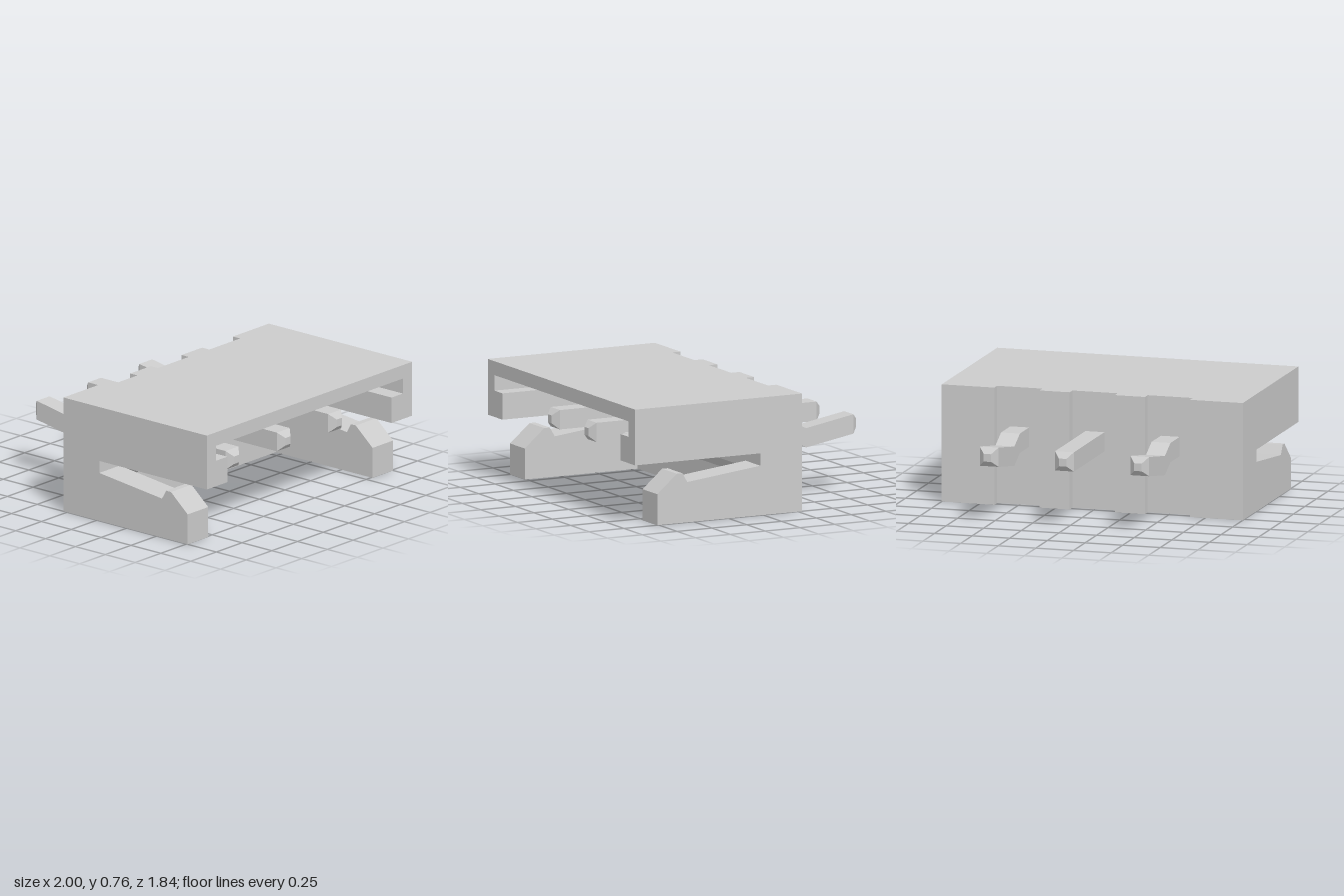
import * as THREE from 'three';

const material = new THREE.MeshStandardMaterial({ color: 0xcccccc, flatShading: true });

function toShape(points) {
  return new THREE.Shape(points.map(([a, b]) => new THREE.Vector2(a, b)));
}

function extrude(points, depth) {
  return new THREE.ExtrudeGeometry(toShape(points), { depth, bevelEnabled: false });
}

// Side profile given as [z, y], extruded across x and centred on x = 0
function extrudeAcross(points, width) {
  return extrude(points, width).translate(0, 0, -width / 2).rotateY(-Math.PI / 2);
}

function addMesh(group, name, geometry, x = 0, y = 0, z = 0) {
  const mesh = new THREE.Mesh(geometry, material);
  mesh.name = name;
  mesh.position.set(x, y, z);
  group.add(mesh);
}

// Square bar through stations of [z, centre height, half thickness]
function pinGeometry(stations) {
  const positions = [];
  const index = [];
  for (const [z, y, h] of stations) {
    positions.push(-h, y - h, z, h, y - h, z, h, y + h, z, -h, y + h, z);
  }
  const last = (stations.length - 1) * 4;
  for (let i = 0; i < last; i += 4) {
    for (let j = 0; j < 4; j++) {
      const a = i + j, b = i + (j + 1) % 4;
      index.push(a, a + 4, b, b, a + 4, b + 4);
    }
  }
  index.push(0, 1, 2, 0, 2, 3, last, last + 2, last + 1, last, last + 3, last + 2);
  const geometry = new THREE.BufferGeometry();
  geometry.setAttribute('position', new THREE.Float32BufferAttribute(positions, 3));
  geometry.setIndex(index);
  const flat = geometry.toNonIndexed();
  flat.computeVertexNormals();
  return flat;
}

export function createModel() {
  const group = new THREE.Group();
  group.name = 'pinHeader';
  const top = 0.76, wallFront = -0.05, slotEnd = 0.02;

  // Back wall: plan outline with three full-height grooves
  const plan = [[-1, -wallFront], [1, -wallFront], [1, 0.28]].map(([x, d]) => [x, d]);
  plan[0][1] = plan[1][1] = 0.05;
  for (const [centre, half] of [[0.5, 0.15], [0, 0.15], [-0.5, 0.15]]) {
    plan.push([centre + half, 0.28], [centre + half, 0.22], [centre - half, 0.22], [centre - half, 0.28]);
  }
  plan.push([-1, 0.28]);
  addMesh(group, 'backWall', extrude(plan, top).rotateX(-Math.PI / 2));

  // Thicker upper part of the wall with a sloped underside
  addMesh(group, 'wallLip', extrudeAcross(
    [[wallFront, 0.2], [slotEnd, 0.28], [slotEnd, top], [wallFront, top]], 1.6));

  // Top shell: roof with stepped side walls
  const half = [[1, 0.4], [1, top]];
  const inner = [[0.91, 0.67], [0.91, 0.57], [0.8, 0.57], [0.8, 0.4]];
  const mirror = (points) => points.map(([x, y]) => [-x, y]).reverse();
  addMesh(group, 'topShell',
    extrude([...half, ...mirror(half), ...mirror(inner), ...inner], 0.92 - slotEnd), 0, 0, slotEnd);

  // Latch arms with hooked ends
  const arm = [
    [wallFront, 0], [0.76, 0], [0.76, 0.2], [0.62, 0.32], [0.58, 0.32],
    [0.545, 0.26], [slotEnd, 0.32], [slotEnd, top], [wallFront, top],
  ];
  for (const side of [-1, 1]) {
    addMesh(group, side > 0 ? 'leftLatchArm' : 'rightLatchArm', extrudeAcross(arm, 0.2), side * 0.9);
  }

  // Contact pins: chamfered at both ends, the outer two kinked behind the wall
  const y = 0.44, r = 0.0625, tip = 0.025;
  const front = [[0.74, y, tip], [0.7, y, r]];
  const back = [[-0.88, y, r], [-0.92, y, tip]];
  const kink = [[-0.42, y, r], [-0.54, y - 0.06, r]];
  for (const x of [-0.5, 0, 0.5]) {
    const stations = x === 0 ? [...front, ...back] : [...front, ...kink, ...back];
    addMesh(group, x === 0 ? 'straightPin' : 'kinkedPin', pinGeometry(stations), x);
  }
  return group;
}
